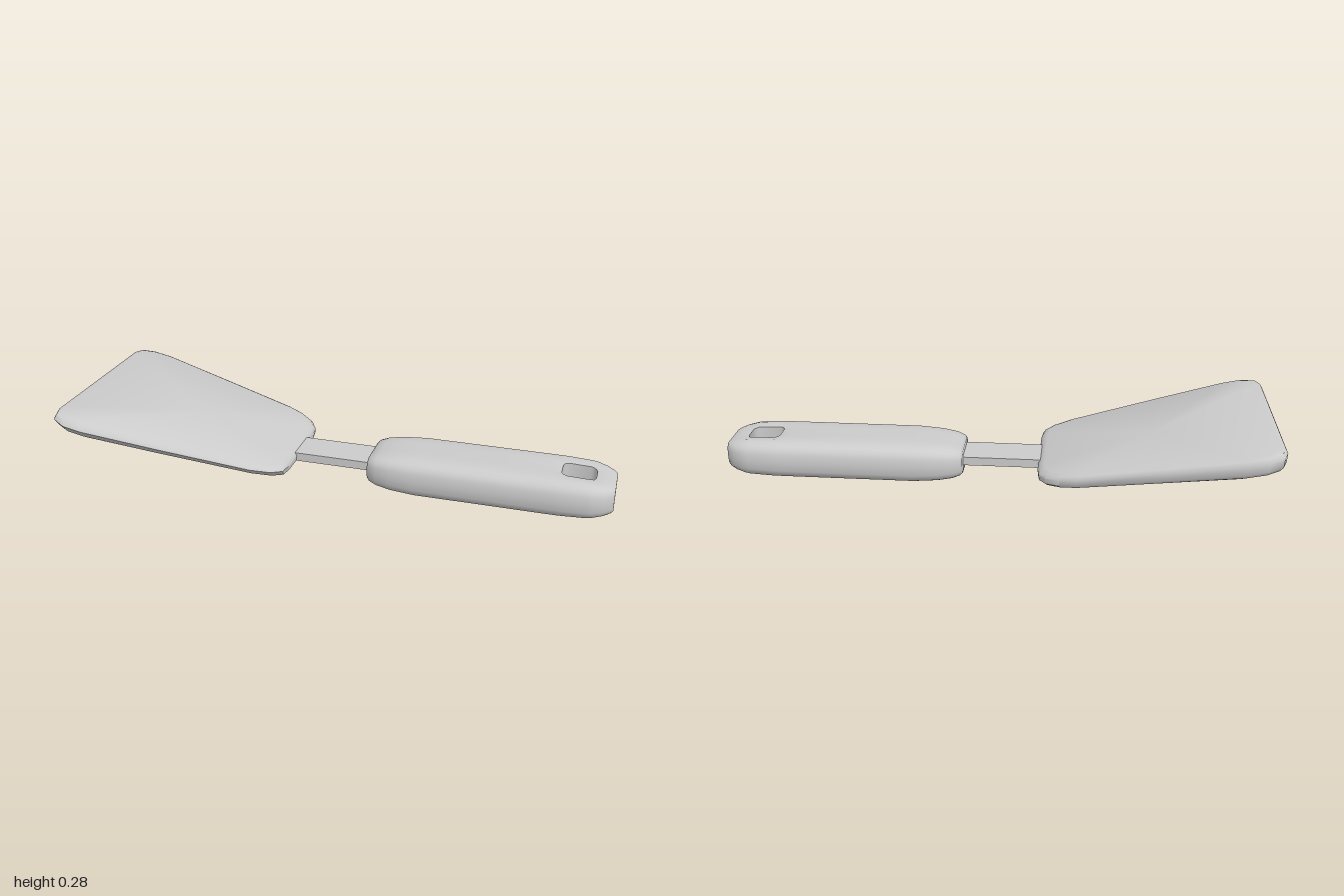
import * as THREE from 'three';
import { toCreasedNormals } from 'three/addons/utils/BufferGeometryUtils.js';

const material = new THREE.MeshStandardMaterial({ color: 0xcccccc });

// Joins closed rings of points (counter-clockwise seen from the advancing side), leaving out skipped cells
function loft(rings, { caps = true, skip = () => false, crease = 0.75 } = {}) {
  const n = rings[0].length;
  const pos = rings.flat(2);
  const index = [];
  for (let i = 0; i < rings.length - 1; i++) {
    for (let j = 0; j < n; j++) {
      if (skip(i, j)) continue;
      const k = (j + 1) % n;
      const a = i * n + j, b = i * n + k, c = b + n, d = a + n;
      index.push(a, b, c, a, c, d);
    }
  }
  if (caps) {
    for (const [r, flip] of [[0, true], [rings.length - 1, false]]) {
      const centre = [0, 1, 2].map(q => rings[r].reduce((s, p) => s + p[q], 0) / n);
      const c = pos.length / 3;
      pos.push(...centre);
      for (let j = 0; j < n; j++) {
        const a = r * n + j, b = r * n + (j + 1) % n;
        index.push(c, flip ? b : a, flip ? a : b);
      }
    }
  }
  const g = new THREE.BufferGeometry();
  g.setAttribute('position', new THREE.Float32BufferAttribute(pos, 3));
  g.setIndex(index);
  return toCreasedNormals(g, crease);
}

function part(name, geometry) {
  const mesh = new THREE.Mesh(geometry, material);
  mesh.name = name;
  return mesh;
}

// Tilted blade: one outline stacked in layers with rounded rims
function bladeGeometry() {
  const outline = [
    [-1, -0.32], [-0.985, -0.36], [-0.94, -0.38], [-0.87, -0.383], [-0.6, -0.34], [-0.3, -0.29], [-0.24, -0.27],
    [-0.19, -0.235], [-0.166, -0.195], [-0.16, -0.15], [-0.16, 0.14], [-0.166, 0.19], [-0.2, 0.225], [-0.27, 0.255],
    [-0.6, 0.325], [-0.87, 0.377], [-0.935, 0.377], [-0.985, 0.35], [-1, 0.3],
  ].reverse();
  // [height fraction, inset, undercut of the +z side]
  const layers = [[0, 0.03, 0.13], [0.12, 0.012, 0.11], [0.3, 0.002, 0.07], [0.7, 0, 0], [0.9, 0.008, 0], [1, 0.024, 0]];
  return loft(layers.map(([v, inset, under]) => outline.map(([x0, z0]) => {
    const x = -0.58 + (x0 + 0.58) * (1 - inset / 0.42);
    const z = z0 * (1 - inset / 0.38) * (z0 > 0 ? 1 - under : 1);
    const bottom = 0.052 - 0.183 * (x + 0.18);
    const top = 0.104 - 0.219 * (x + 0.18);
    return [x, bottom + v * (top - bottom), z];
  })));
}

// Handle: rounded cross-sections along x with a through hole near the end
function handleParts() {
  const cy = 0.0735, cz = -0.02, m = 11;
  // [x, half width, half height]
  const stations = [
    [0.118, 0.095, 0.042], [0.126, 0.105, 0.05], [0.155, 0.119, 0.06], [0.21, 0.132, 0.068], [0.3, 0.14, 0.0735],
    [0.55, 0.14, 0.0735], [0.78, 0.14, 0.0735], [0.81, 0.14, 0.0733], [0.83, 0.139, 0.073], [0.91, 0.134, 0.07],
    [0.93, 0.13, 0.067], [0.965, 0.115, 0.059], [0.99, 0.095, 0.05], [1, 0.08, 0.044],
  ];
  const first = 7, last = 10;
  const core = [-0.05, -0.03, 0.03, 0.05];
  const rings = stations.map(([x, w, h]) => {
    const half = core.map(u => [x, cy + h, cz + u]);
    for (let k = 1; k <= m; k++) {
      const a = Math.PI * k / (m + 1);
      const c = Math.cos(a);
      half.push([x, cy + h * Math.sign(c) * Math.abs(c) ** 0.62, cz + 0.05 + (w - 0.05) * Math.sin(a) ** 0.75]);
    }
    return [...half, ...half.map(([, y, z]) => [x, 2 * cy - y, 2 * cz - z])];
  });

  // Rim of the hole: rounded corners, slightly sunk into the surface
  const around = [[0, 0], [0, 1], [0, 2], [0, 3], [1, 3], [2, 3], [3, 3], [3, 2], [3, 1], [3, 0], [2, 0], [1, 0]];
  const rim = side => around.map(([i, j]) => {
    const p = rings[first + i][side > 0 ? j : m + 7 - j];
    if (i % 3 === 0 && j % 3 === 0) {
      p[0] += i ? -0.007 : 0.007;
      p[2] += j ? -0.007 : 0.007;
    }
    p[1] -= side * 0.008;
    return p;
  });
  const upper = rim(1), lower = rim(-1);
  const skip = (i, j) => i >= first && i < last && (j < 3 || (j >= m + 4 && j < m + 7));
  return [
    part('handleGrip', loft(rings, { skip, crease: 0.9 })),
    part('hangingHoleWall', loft([upper, lower], { caps: false })),
  ];
}

export function createModel() {
  const model = new THREE.Group();
  model.name = 'spatula';

  model.add(part('blade', bladeGeometry()));

  // Flat neck between blade and handle
  const neck = part('neck', new THREE.BoxGeometry(0.37, 0.032, 0.14));
  neck.position.set(-0.025, 0.079, -0.02);
  model.add(neck);

  const handle = new THREE.Group();
  handle.name = 'handle';
  handle.add(...handleParts());
  model.add(handle);
  return model;
}
